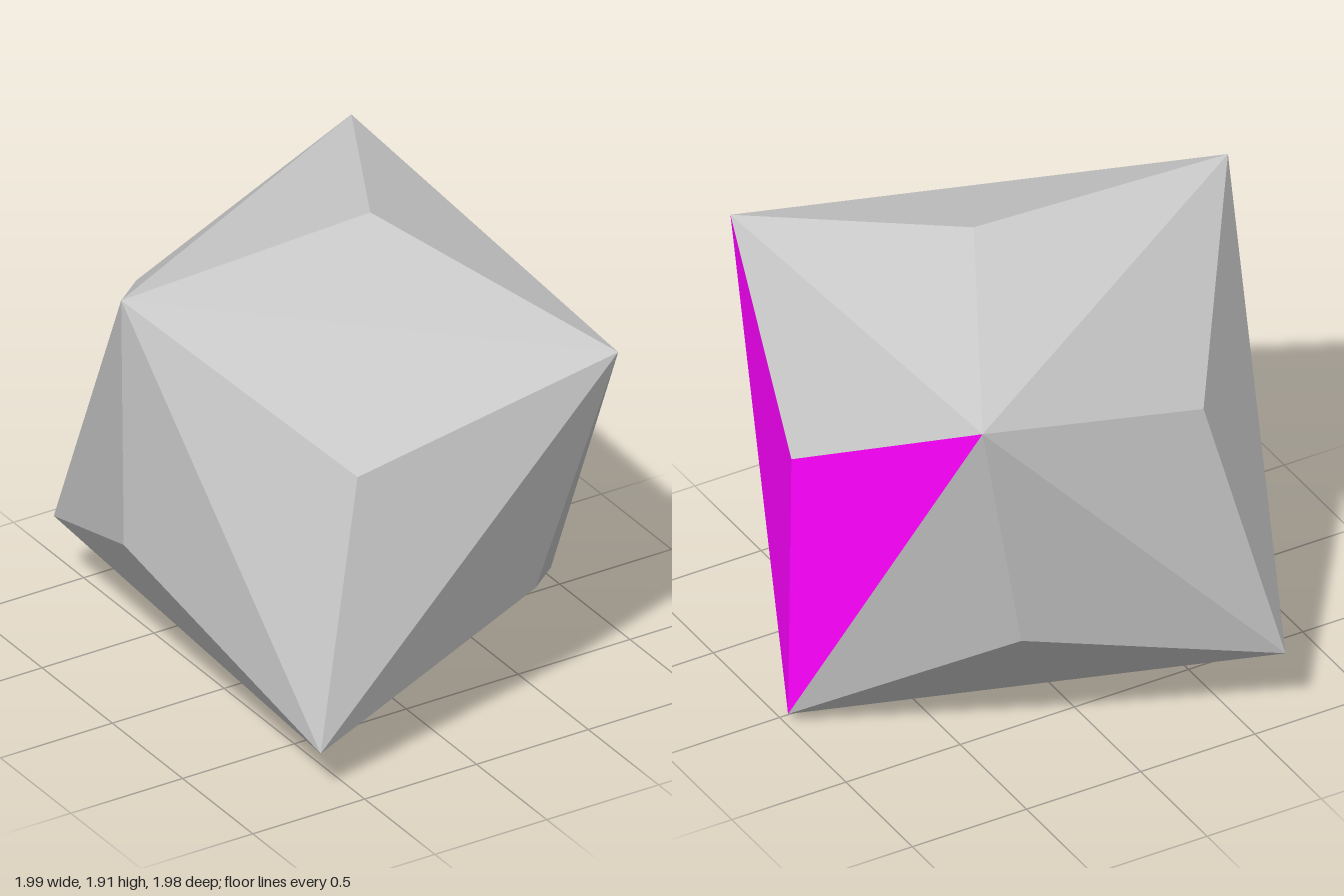
import * as THREE from 'three';

// Triakis octahedron: a low pyramid raised on each face of a tilted octahedron.
const CENTER_Y = 0.96;
const AXES = [
  new THREE.Vector3(0.64, 0.64, 0.99),
  new THREE.Vector3(-0.995, 0.91, 0.055),
  new THREE.Vector3(-0.64, -0.76, 0.91),
];
const APEX_SCALE = Math.SQRT2 - 1;

// Flat-sided mesh from a list of triangles
function facetMesh(triangles, material, name) {
  const geometry = new THREE.BufferGeometry().setFromPoints(triangles.flat());
  geometry.computeVertexNormals();
  const mesh = new THREE.Mesh(geometry, material);
  mesh.name = name;
  return mesh;
}

export function createModel() {
  const grey = new THREE.MeshStandardMaterial({ color: 0xcccccc, flatShading: true });
  const magenta = new THREE.MeshStandardMaterial({ color: 0xff00ff, flatShading: true });
  const model = new THREE.Group();
  model.name = 'triakisOctahedron';

  for (const sa of [1, -1]) for (const sb of [1, -1]) for (const sc of [1, -1]) {
    // Base corners and apex of one pyramid
    const signs = [sa, sb, sc];
    const corners = AXES.map((axis, i) => axis.clone().multiplyScalar(signs[i]));
    const apex = new THREE.Vector3();
    corners.forEach((c) => apex.add(c));
    apex.multiplyScalar(APEX_SCALE);

    // Three sides, wound outward; side i runs from corner i to the next
    const outward = corners[0].clone().cross(corners[1]).dot(corners[2]) > 0;
    const sides = corners.map((c, i) => {
      const next = corners[(i + 1) % 3];
      return outward ? [c, next, apex] : [next, c, apex];
    });

    const pyramid = new THREE.Group();
    pyramid.name = 'facePyramid';
    // The pyramid on the left has two coloured sides, meeting at its lower corner
    const accent = sa > 0 && sb < 0 && sc < 0;
    if (accent) {
      pyramid.add(facetMesh([sides[0], sides[1]], magenta, 'colouredSides'));
      pyramid.add(facetMesh([sides[2]], grey, 'plainSide'));
    } else {
      pyramid.add(facetMesh(sides, grey, 'pyramidSides'));
    }
    pyramid.position.y = CENTER_Y;
    model.add(pyramid);
  }
  return model;
}
